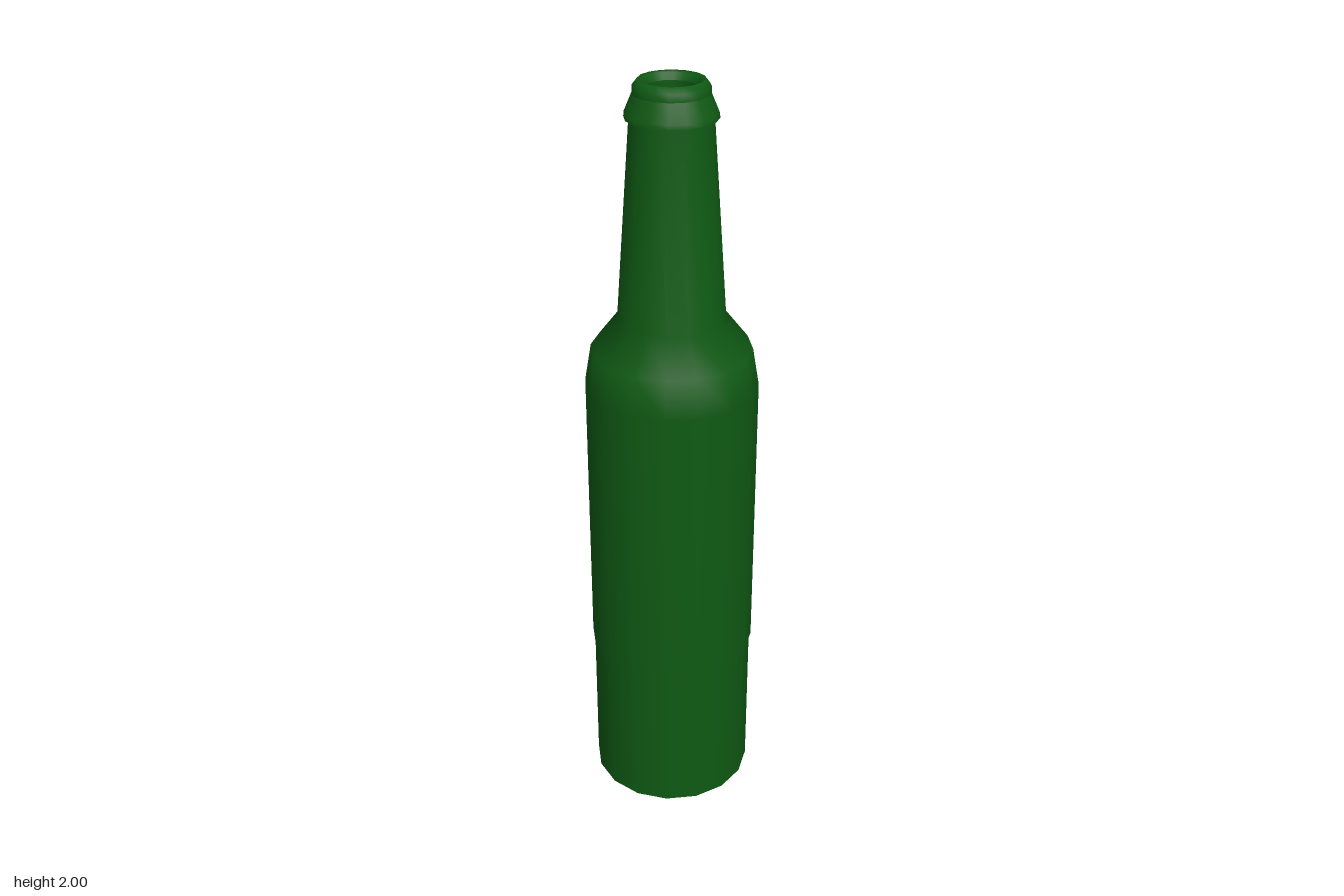
import * as THREE from 'three';

const SIDES = 16;

export function createModel() {
  const group = new THREE.Group();
  group.name = 'bottle';
  const glass = new THREE.MeshStandardMaterial({ color: 0x0f5a14, side: THREE.DoubleSide });

  // Each part is a [radius, height] profile; separate parts keep hard edges between them
  const addPart = (name, profile) => {
    const points = profile.map(([r, y]) => new THREE.Vector2(r, y));
    const mesh = new THREE.Mesh(new THREE.LatheGeometry(points, SIDES), glass);
    mesh.name = name;
    group.add(mesh);
  };

  addPart('base', [[0, 0.008], [0.19, 0.008], [0.219, 0]]);
  addPart('lowerBody', [[0.219, 0], [0.219, 0.435]]);

  // Slightly wider upper body, with its small step
  addPart('bodyStep', [[0.219, 0.435], [0.224, 0.435]]);
  addPart('upperBodyAndNeck', [
    [0.224, 0.435], [0.224, 1.22], [0.207, 1.32], [0.137, 1.41], [0.102, 1.91],
  ]);

  // Flared collar below the mouth
  addPart('collarUnderside', [[0.102, 1.91], [0.114, 1.91]]);
  addPart('collar', [[0.114, 1.91], [0.113, 1.922], [0.094, 1.967]]);

  // Rounded lip turning into the open mouth
  addPart('lip', [[0.094, 1.967], [0.093, 1.985], [0.081, 2], [0.07, 1.997], [0.063, 1.98]]);
  addPart('mouthInside', [[0.063, 1.98], [0.064, 1.91], [0.09, 1.85]]);

  return group;
}
